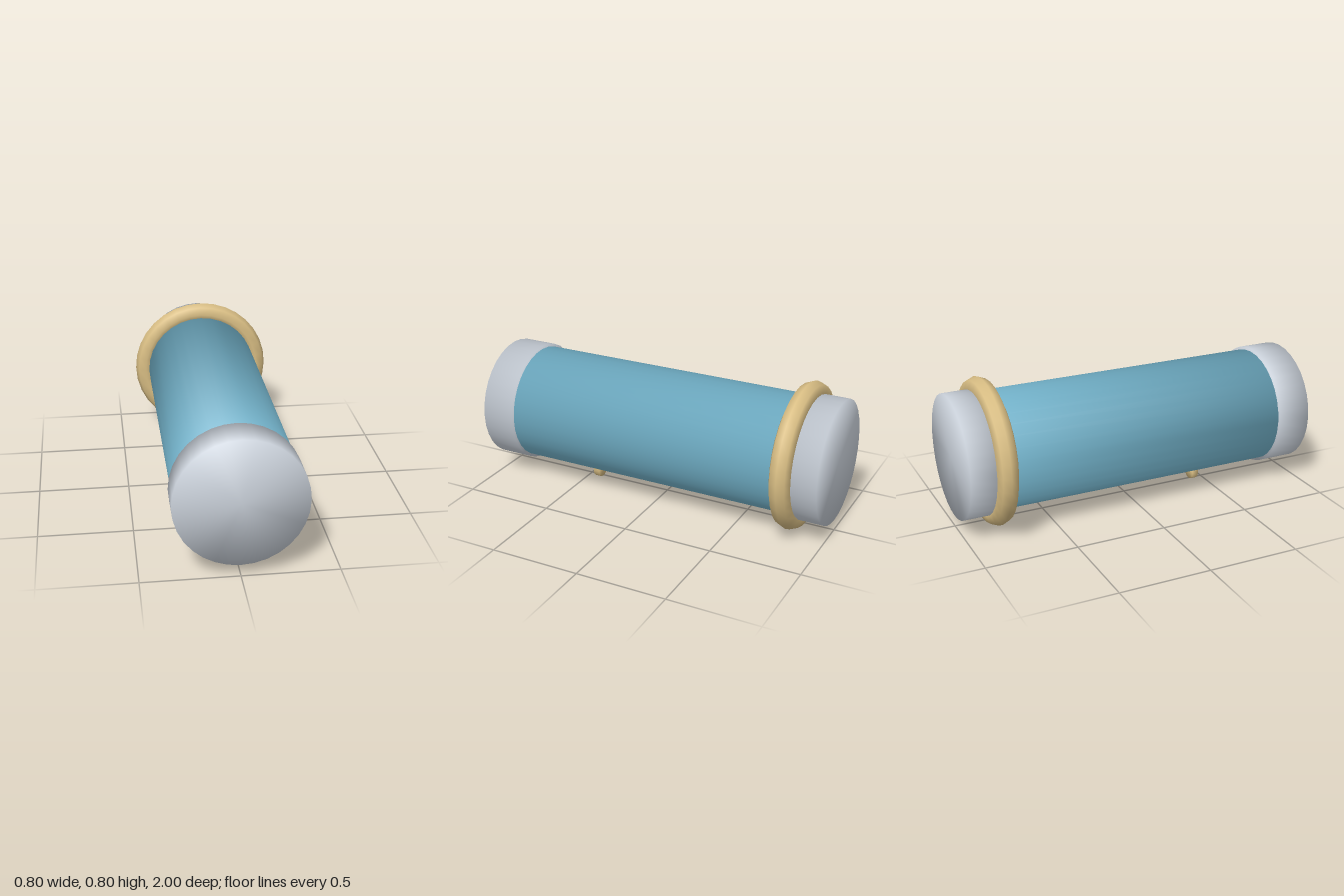
import * as THREE from 'three';

const CENTRE_Y = 0.404;

function material(name, color) {
  const m = new THREE.MeshStandardMaterial({ color });
  m.name = name;
  return m;
}

// Closed cylinder along z whose rim normals are blended between side and end face
function softDrum(radius, z0, z1, sides) {
  const g = new THREE.CylinderGeometry(radius, radius, z1 - z0, sides);
  const p = g.attributes.position;
  const n = new THREE.Vector3();
  for (let i = 0; i < p.count; i++) {
    const r = Math.hypot(p.getX(i), p.getZ(i));
    const k = r > 1e-5 ? 1 / r : 0;
    n.set(p.getX(i) * k, Math.sign(p.getY(i)), p.getZ(i) * k).normalize();
    g.attributes.normal.setXYZ(i, n.x, n.y, n.z);
  }
  g.rotateX(Math.PI / 2);
  g.translate(0, 0, (z0 + z1) / 2);
  return g;
}

export function createModel() {
  const model = new THREE.Group();
  const blue = material('blue', 0x74b4cc);
  const grey = material('light grey', 0xcad1da);
  const tan = material('tan', 0xd9be84);

  const add = (name, geometry, mat, x = 0, y = CENTRE_Y, z = 0) => {
    const mesh = new THREE.Mesh(geometry, mat);
    mesh.name = name;
    mesh.position.set(x, y, z);
    model.add(mesh);
  };

  // Main tube and the slightly wider end caps
  add('body', softDrum(0.322, -0.85, 0.85, 32), blue);
  add('frontCap', softDrum(0.338, 0.81, 1, 32), grey);
  add('backCap', softDrum(0.338, -1, -0.81, 32), grey);

  // Collar ring near the back
  add('collarRing', new THREE.TorusGeometry(0.343, 0.058, 8, 32), tan, 0, CENTRE_Y, -0.806);

  // Pair of small studs under the body, each with a blue centre
  for (const side of [1, -1]) {
    const prefix = side > 0 ? 'left' : 'right';
    add(prefix + 'Stud', softDrum(0.047, 0.374, 0.41, 12), tan, side * 0.083, 0.094);
    add(prefix + 'StudCentre', softDrum(0.027, 0.4, 0.419, 10), blue, side * 0.083, 0.092);
  }
  return model;
}
